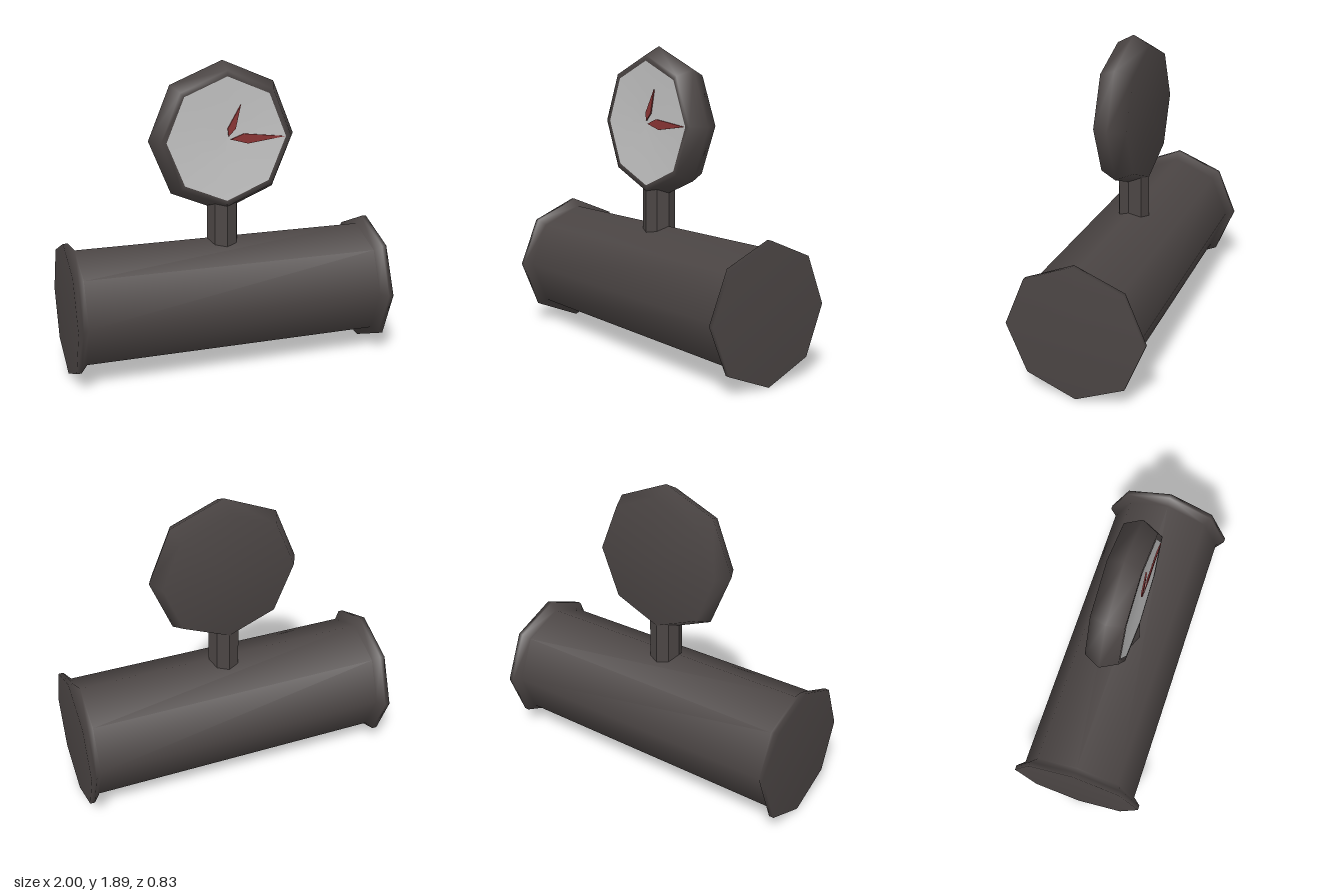
import * as THREE from 'three';

const SIDES = 8;
const PIPE_Y = 0.417;
const DIAL_Y = 1.42;

const iron = new THREE.MeshStandardMaterial({ name: 'dark iron', color: 0x4b4544 });
const face = new THREE.MeshStandardMaterial({ name: 'dial grey', color: 0xc6c6c6 });
const red = new THREE.MeshStandardMaterial({ name: 'needle red', color: 0x8c3535 });

// Eight-sided turned part; profile is [radius, height] from bottom to top
function turned(profile) {
  return new THREE.LatheGeometry(profile.map(([r, h]) => new THREE.Vector2(r, h)), SIDES);
}

// Thin pointed needle lying along +x, turned by angle about z
function needle(length, halfWidth, angle) {
  const shape = new THREE.Shape([
    [0.02, 0], [length * 0.35, -halfWidth], [length, 0], [length * 0.28, halfWidth],
  ].map(([x, y]) => new THREE.Vector2(x, y)));
  const geo = new THREE.ExtrudeGeometry(shape, { depth: 0.008, bevelEnabled: false });
  return geo.rotateZ(angle);
}

export function createModel() {
  const model = new THREE.Group();
  model.name = 'pipeWithGauge';
  const add = (name, geo, material, y, z = 0) => {
    const mesh = new THREE.Mesh(geo, material);
    mesh.name = name;
    mesh.position.set(0, y, z);
    model.add(mesh);
  };

  // Horizontal pipe with a chamfered flange at each end
  const half = [[0, 1], [0.417, 1], [0.417, 0.97], [0.37, 0.93]];
  const pipe = [
    ...half.map(([r, h]) => [r, -h]),
    ...half.slice().reverse(),
  ];
  add('pipe', turned(pipe).rotateZ(-Math.PI / 2), iron, PIPE_Y);

  // Faceted stem between pipe and gauge
  const stem = new THREE.CylinderGeometry(0.1, 0.1, 0.34, SIDES).toNonIndexed();
  stem.computeVertexNormals();
  add('stem', stem, iron, 0.85);

  // Gauge housing with an angled rim and a shallow front dish
  const housing = [[0, -0.1], [0.415, -0.1], [0.467, 0], [0.415, 0.1], [0.38, 0.099], [0, 0.075]];
  add('gaugeHousing', turned(housing).rotateX(Math.PI / 2), iron, DIAL_Y);

  // Dished dial face
  const dial = [[0.38, 0.101], [0.19, 0.09], [0, 0.086]];
  add('dialFace', turned(dial).rotateX(Math.PI / 2), face, DIAL_Y);

  // Two needles
  add('longNeedle', needle(0.375, 0.031, 0), red, DIAL_Y, 0.097);
  add('shortNeedle', needle(0.225, 0.024, THREE.MathUtils.degToRad(68)), red, DIAL_Y, 0.097);

  return model;
}
